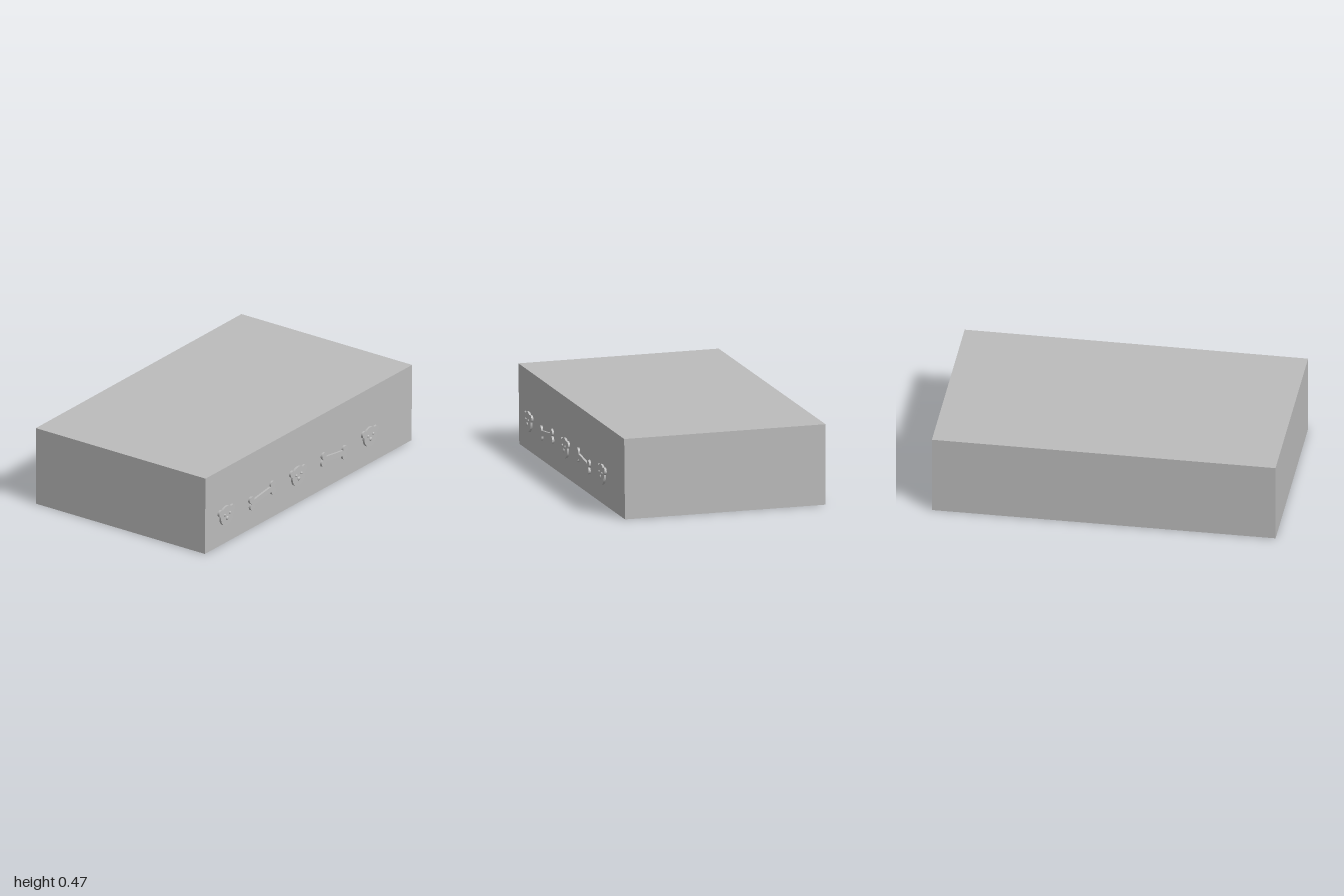
import * as THREE from 'three';

const H = 0.475, BACK = -0.616;
// The front panel leans and skews very slightly.
const frontZ = (x, y) => 0.592 + 0.0035 * x + 0.005 * (y / H);

// Outline of a round head with two ears.
function headShape() {
  const R = 0.06, r = 0.021, ex = 0.056, ey = 0.03;
  const D = Math.hypot(ex, ey), phi = Math.atan2(ey, ex);
  const d = Math.acos((R * R + D * D - r * r) / (2 * R * D));
  const e = Math.acos((r * r + D * D - R * R) / (2 * r * D));
  const s = new THREE.Shape();
  s.absarc(0, 0, R, phi + d, Math.PI - phi - d, false);
  s.absarc(-ex, ey, r, -phi + e, 2 * Math.PI - phi - e, false);
  s.absarc(0, 0, R, Math.PI - phi + d, 2 * Math.PI + phi - d, false);
  s.absarc(ex, ey, r, phi + Math.PI + e, phi + 3 * Math.PI - e, false);
  return s;
}

// Outline of a bone: a shaft with two knobs at each end.
function boneShape() {
  const a = 0.103, b = 0.022, r = 0.021, h = 0.016;
  const k = Math.asin((b - h) / r), n = 1.22, P = Math.PI;
  const s = new THREE.Shape();
  s.absarc(a, -b, r, P - k, 2 * P + n, false);
  s.absarc(a, b, r, -n, P + k, false);
  s.absarc(-a, b, r, -k, P + n, false);
  s.absarc(-a, -b, r, P - n, 2 * P + k, false);
  return s;
}

export function createModel() {
  const model = new THREE.Group();
  const grey = new THREE.MeshStandardMaterial({ color: 0xbcbcbc });
  grey.name = 'plain grey';

  const add = (parent, geometry, name) => {
    const mesh = new THREE.Mesh(geometry, grey);
    mesh.name = name;
    parent.add(mesh);
    return mesh;
  };

  // Main block, with its front corners shifted onto the front panel
  const block = new THREE.BoxGeometry(2, H, 1).translate(0, H / 2, 0);
  const p = block.attributes.position;
  for (let i = 0; i < p.count; i++) {
    p.setZ(i, p.getZ(i) > 0 ? frontZ(p.getX(i), p.getY(i)) : BACK);
  }
  block.computeVertexNormals();
  add(model, block, 'block');

  const extrude = (shape) => new THREE.ExtrudeGeometry(shape,
    { depth: 0.017, bevelEnabled: false, curveSegments: 14 }).translate(0, 0, -0.004);
  const headGeometry = extrude(headShape());
  const boneGeometry = extrude(boneShape());

  // Animal heads with raised eyes and nose
  for (const x of [-0.803, -0.11, 0.585]) {
    const head = new THREE.Group();
    head.name = 'animalHead';
    head.position.set(x, 0.175, frontZ(x, 0.175));
    add(head, headGeometry, 'face');
    for (const [name, fx, fy, r] of [['leftEye', 0.025, 0.012, 0.008],
      ['rightEye', -0.025, 0.012, 0.008], ['nose', 0, -0.014, 0.012]]) {
      const bump = add(head, new THREE.SphereGeometry(r, 16, 10), name);
      bump.scale.z = 0.007 / r;
      bump.position.set(fx, fy, 0.013);
    }
    model.add(head);
  }

  // Bones, tilted opposite ways
  for (const [x, tilt] of [[-0.457, 0.13], [0.238, -0.13]]) {
    const bone = add(model, boneGeometry, 'bone');
    bone.position.set(x, 0.176, frontZ(x, 0.176));
    bone.rotation.z = tilt;
  }
  return model;
}
